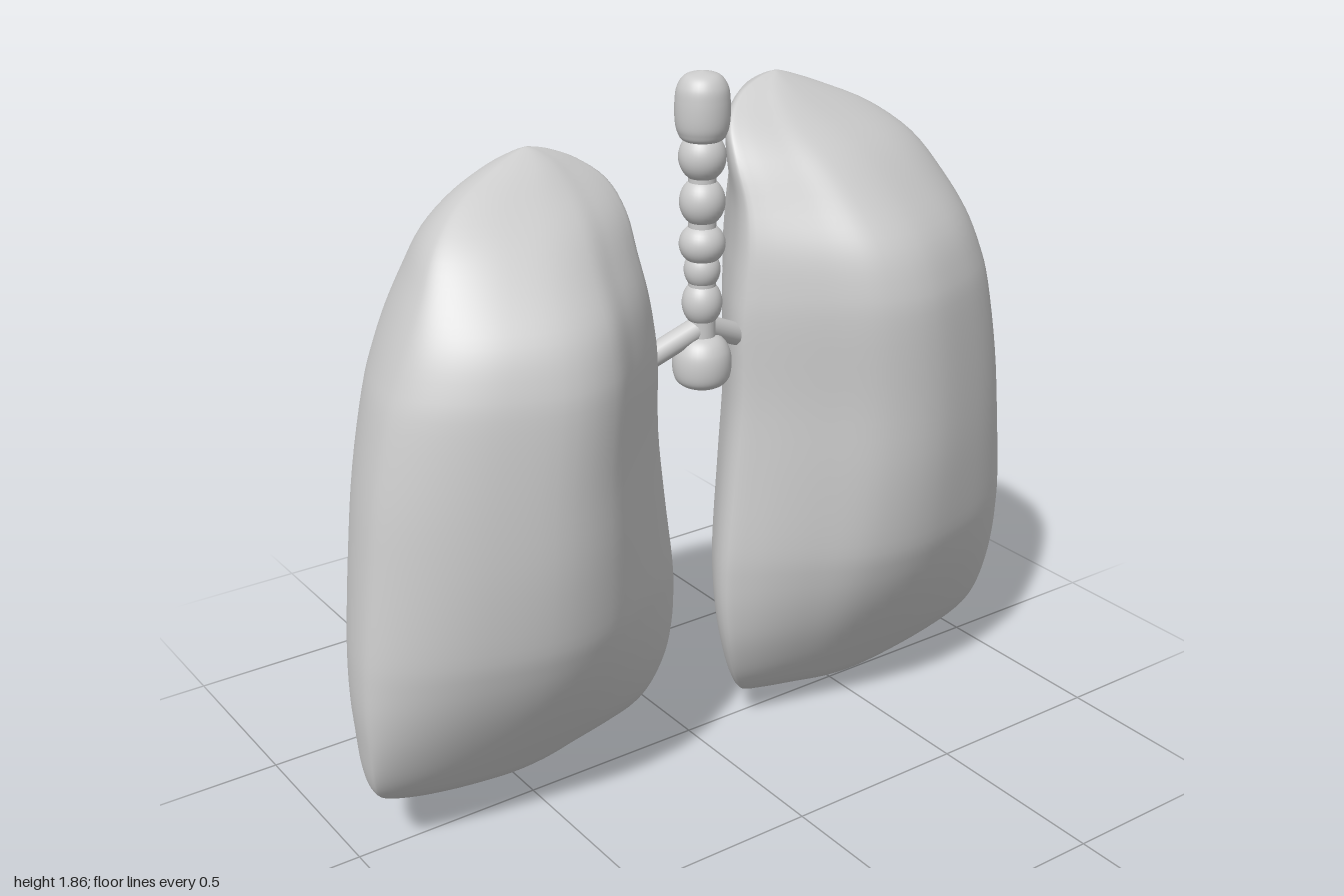
import * as THREE from 'three';

// Lung levels, bottom to top: y, inner x, outer x, front z, back z, z of the side rims
const LEVELS = [
  [0.005, 0.48, 0.52, -0.10, -0.13, -0.115], [0.015, 0.36, 0.70, -0.03, -0.18, -0.09],
  [0.04, 0.25, 0.83, 0.04, -0.22, -0.04], [0.08, 0.18, 0.90, 0.085, -0.26, 0.01],
  [0.13, 0.13, 0.955, 0.12, -0.285, 0.05], [0.2, 0.09, 0.98, 0.168, -0.312, 0.08],
  [0.3, 0.055, 0.993, 0.228, -0.333, 0.1], [0.4, 0.037, 1.0, 0.28, -0.345, 0.105],
  [0.5, 0.032, 0.998, 0.32, -0.353, 0.105], [0.6, 0.037, 0.99, 0.346, -0.359, 0.105],
  [0.8, 0.06, 0.965, 0.368, -0.366, 0.1], [1.0, 0.08, 0.935, 0.372, -0.37, 0.1],
  [1.2, 0.08, 0.89, 0.37, -0.37, 0.1], [1.3, 0.09, 0.855, 0.356, -0.366, 0.1],
  [1.4, 0.105, 0.81, 0.318, -0.35, 0.095], [1.5, 0.118, 0.755, 0.24, -0.315, 0.07],
  [1.6, 0.12, 0.69, 0.148, -0.27, 0.025], [1.68, 0.145, 0.59, 0.045, -0.22, -0.03],
  [1.735, 0.21, 0.47, -0.025, -0.18, -0.075], [1.765, 0.28, 0.39, -0.07, -0.135, -0.095],
  [1.777, 0.33, 0.35, -0.095, -0.105, -0.1],
];

// Cross-section in unit form: u runs inner to outer, v is 1 at the front, 0 on the rims, -1 at the back
const SECTION = new THREE.CatmullRomCurve3([
  [0, 0], [0.06, 0.23], [0.21, 0.6], [0.37, 0.93], [0.5, 1], [0.73, 0.8], [0.91, 0.45], [1, 0],
  [0.94, -0.46], [0.82, -0.76], [0.63, -0.96], [0.48, -1], [0.35, -0.91], [0.2, -0.61], [0.05, -0.24],
].map(([u, v]) => new THREE.Vector3(u, v, 0)), true);

const catmull = (a, b, c, d, t) =>
  b + 0.5 * t * (c - a + t * (2 * a - 5 * b + 4 * c - d + t * (3 * (b - c) + d - a)));

function levelAt(i, t) {
  const row = k => LEVELS[Math.min(Math.max(k, 0), LEVELS.length - 1)];
  return row(i).map((_, c) => catmull(row(i - 1)[c], row(i)[c], row(i + 1)[c], row(i + 2)[c], t));
}

// Lofts the levels into one closed smooth skin
function lungGeometry(place, mirrored) {
  const N = 80, STEPS = 4, pos = [], index = [];
  const ring = SECTION.getSpacedPoints(N).slice(0, N);
  const rows = [];
  for (let i = 0; i < LEVELS.length - 1; i++) {
    for (let s = 0; s < STEPS; s++) rows.push(levelAt(i, s / STEPS));
  }
  rows.push(LEVELS[LEVELS.length - 1]);
  for (const [y, x0, x1, zf, zb, rim] of rows) {
    for (const p of ring) {
      pos.push(...place(x0 + (x1 - x0) * p.x, y, rim + p.y * (p.y > 0 ? zf - rim : rim - zb)));
    }
  }
  const tri = (a, b, c) => index.push(...(mirrored ? [a, c, b] : [a, b, c]));
  for (let i = 0; i < rows.length - 1; i++) {
    for (let j = 0; j < N; j++) {
      const a = i * N + j, b = i * N + (j + 1) % N;
      tri(a, b, a + N);
      tri(b, b + N, a + N);
    }
  }
  // End caps
  const last = (rows.length - 1) * N;
  for (const [row, start] of [[rows[0], 0], [rows[rows.length - 1], last]]) {
    const centre = pos.length / 3;
    pos.push(...place((row[1] + row[2]) / 2, row[0], row[5]));
    for (let j = 0; j < N; j++) {
      const a = start + j, b = start + (j + 1) % N;
      if (start) tri(a, b, centre); else tri(b, a, centre);
    }
  }
  const g = new THREE.BufferGeometry();
  g.setAttribute('position', new THREE.Float32BufferAttribute(pos, 3));
  g.setIndex(index);
  g.computeVertexNormals();
  return g;
}

export function createModel() {
  const model = new THREE.Group();
  const material = new THREE.MeshStandardMaterial({ color: 0xcccccc });
  const add = (name, geometry, x = 0, y = 0, z = 0) => {
    const mesh = new THREE.Mesh(geometry, material);
    mesh.name = name;
    mesh.position.set(x, y, z);
    model.add(mesh);
    return mesh;
  };

  // Lungs: the right one is a smaller mirror of the left
  add('leftLung', lungGeometry((x, y, z) => [x, y, z], false));
  add('rightLung', lungGeometry((x, y, z) => [-(x * 0.91 + 0.09), y * 0.91 + 0.075, z * 0.91], true));

  // Windpipe: larynx on top of a beaded tube
  const X = -0.033, Z = 0.102;
  const lathe = pts => new THREE.LatheGeometry(
    new THREE.SplineCurve(pts.map(p => new THREE.Vector2(...p))).getPoints(60), 32);
  add('larynx', lathe([
    [0, 1.69], [0.045, 1.695], [0.06, 1.715], [0.066, 1.745], [0.066, 1.79], [0.06, 1.825], [0.04, 1.85], [0, 1.86],
  ]), X, 0, Z);
  // Beads: y centre, radius, half height
  for (const [y, r, h] of [[1.655, 0.058, 0.062], [1.545, 0.056, 0.062], [1.44, 0.057, 0.053], [1.375, 0.045, 0.05], [1.29, 0.05, 0.06]]) {
    add('tracheaRing', new THREE.SphereGeometry(r, 32, 20), X, y, Z).scale.y = h / r;
  }
  add('tracheaCore', new THREE.CylinderGeometry(0.034, 0.034, 0.53, 24), X, 1.435, Z);

  // Rounded bulb under the fork
  add('bronchialBulb', lathe([
    [0, 1.067], [0.04, 1.073], [0.066, 1.092], [0.074, 1.13], [0.068, 1.17], [0.045, 1.2], [0, 1.215],
  ]), X, 0, Z);

  // Bronchi: short rounded branches into each lung
  for (const [name, side] of [['leftBronchus', 1], ['rightBronchus', -1]]) {
    const from = new THREE.Vector3(X, 1.23, Z), to = new THREE.Vector3(X + side * 0.14, 1.167, Z - 0.025);
    const dir = to.clone().sub(from);
    const branch = add(name, new THREE.CapsuleGeometry(0.029, dir.length(), 8, 20));
    branch.position.copy(from).add(to).multiplyScalar(0.5);
    branch.quaternion.setFromUnitVectors(new THREE.Vector3(0, 1, 0), dir.normalize());
  }
  return model;
}
